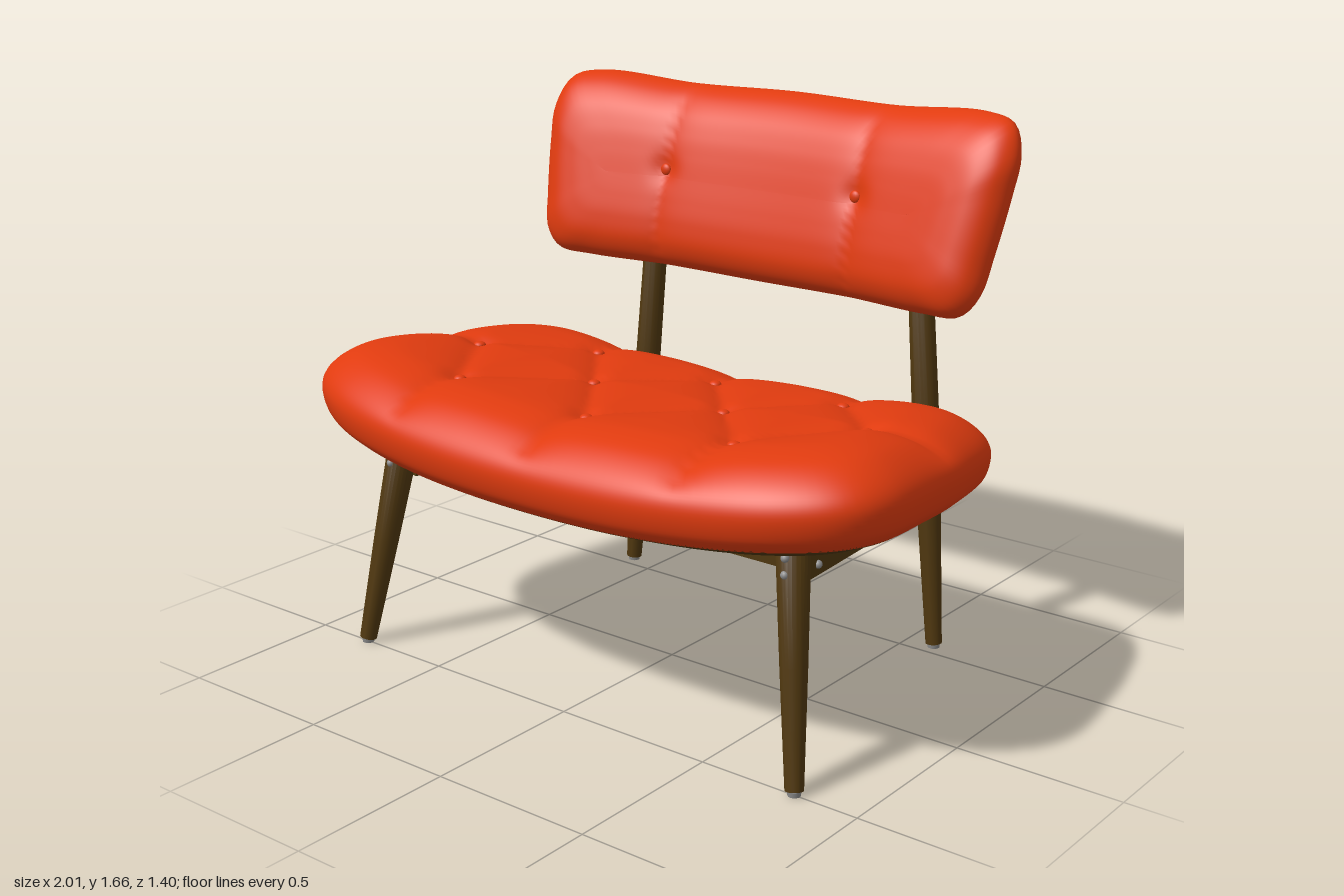
import * as THREE from 'three';
import { toCreasedNormals } from 'three/addons/utils/BufferGeometryUtils.js';

const V = (x, y, z) => new THREE.Vector3(x, y, z);
const material = (name, color) => {
  const m = new THREE.MeshStandardMaterial({ color });
  m.name = name;
  return m;
};

// Closed smooth outline from its right half, listed counter-clockwise from the bottom middle
function outline(half, count = 180) {
  const mirrored = half.slice(1, -1).reverse().map(([a, b]) => [-a, b]);
  const pts = [...half, ...mirrored].map(([a, b]) => V(a, b, 0));
  return new THREE.CatmullRomCurve3(pts, true).getSpacedPoints(count).slice(0, count);
}

// Rings that follow an outline; each profile step is [inset from the edge, height]
function loft(ring, size, profile, place) {
  const { A, B, b0 } = size, n = ring.length, pos = [], idx = [];
  profile.forEach(([d, h]) => ring.forEach(p => {
    const a = p.x * (1 - d / A), b = b0 + (p.y - b0) * (1 - d / B);
    pos.push(...place(a, b, h).toArray());
  }));
  for (let i = 0; i < profile.length - 1; i++) {
    for (let j = 0; j < n; j++) {
      const k = (j + 1) % n, p = i * n, q = p + n;
      idx.push(p + j, q + j, q + k, p + j, q + k, p + k);
    }
  }
  const g = new THREE.BufferGeometry();
  g.setAttribute('position', new THREE.Float32BufferAttribute(pos, 3));
  g.setIndex(idx);
  g.computeVertexNormals();
  return g;
}

const smooth = (profile, steps = 60) =>
  new THREE.SplineCurve(profile.map(p => new THREE.Vector2(...p))).getPoints(steps).map(p => [p.x, p.y]);

function segmentDistance(x, z, [ax, az], [bx, bz]) {
  const dx = bx - ax, dz = bz - az;
  const t = THREE.MathUtils.clamp(((x - ax) * dx + (z - az) * dz) / (dx * dx + dz * dz), 0, 1);
  return Math.hypot(x - ax - t * dx, z - az - t * dz);
}

// Seat buttons as [x, z], and the creases that join them into diamonds
const seatButtons = [[-0.46, -0.21], [0, -0.21], [0.46, -0.21], [-0.715, 0.06], [-0.24, 0.07],
  [0.24, 0.07], [0.715, 0.06], [-0.5, 0.37], [0, 0.385], [0.5, 0.37]];
const creases = [];
seatButtons.forEach((p, i) => {
  seatButtons.slice(i + 1).forEach(q => {
    if (Math.hypot(p[0] - q[0], p[1] - q[1]) < 0.42) creases.push([p, q]);
  });
  if (p[1] > 0.3) creases.push([p, [p[0], 0.64]]);
  else if (p[1] < 0) creases.push([p, [p[0], -0.42]]);
  else if (Math.abs(p[0]) > 0.6) creases.push([p, [p[0] * 1.32, 0.03]]);
});

const seatBase = (x, z) => 0.6 + 0.08 * x * x + 0.07 * z;
function seatPoint(a, b, h) {
  const z = -b;
  const line = Math.min(...creases.map(c => segmentDistance(a, z, ...c)));
  const spot = Math.min(...seatButtons.map(p => Math.hypot(a - p[0], z - p[1])));
  const dip = 0.028 * Math.exp(-line / 0.07) + 0.014 * Math.exp(-((spot / 0.04) ** 2));
  return V(a, seatBase(a, z) + h - dip * THREE.MathUtils.smoothstep(h, 0.12, 0.25), z);
}

// The backrest leans back and curves forward at both ends
function backPoint(a, b, h) {
  const side = Math.abs(Math.abs(a) - 0.35);
  const dip = 0.014 * Math.exp(-side / 0.05) + 0.012 * Math.exp(-((Math.hypot(side, b - 1.395) / 0.04) ** 2));
  return V(a, b, -0.64 + 0.14 * a * a - 0.3 * (b - 1.375) + h - dip * THREE.MathUtils.smoothstep(h, 0.1, 0.22));
}

export function createModel() {
  const red = material('red upholstery', 0xe03b0f);
  const wood = material('dark wood', 0x4f370f);
  const metal = material('grey metal', 0x8c8c8c);
  const model = new THREE.Group();
  const add = (name, geometry, mat, position) => {
    const mesh = new THREE.Mesh(geometry, mat);
    mesh.name = name;
    if (position) mesh.position.copy(position);
    model.add(mesh);
    return mesh;
  };

  // Seat cushion and the curved board under it
  const seatSize = { A: 1, B: 0.578, b0: -0.112 };
  const seatRing = outline([[0, -0.69], [0.5, -0.67], [0.8, -0.6], [0.95, -0.5], [1, -0.38], [0.98, -0.1],
    [0.95, 0.1], [0.88, 0.33], [0.79, 0.42], [0.6, 0.455], [0.3, 0.465], [0, 0.466]]);
  add('seatCushion', loft(seatRing, seatSize, smooth([[0.578, 0.263], [0.48, 0.263], [0.38, 0.263], [0.28, 0.262],
    [0.19, 0.255], [0.1, 0.226], [0.03, 0.17], [0, 0.11], [0.012, 0.04], [0.05, 0.002]]), seatPoint), red);
  add('seatBoard', toCreasedNormals(loft(seatRing, seatSize, [[0.045, 0.006], [0.06, -0.003], [0.13, -0.028],
    [0.25, -0.028], [0.42, -0.025], [0.578, -0.022]], seatPoint), 0.6), wood);
  seatButtons.forEach(([x, z]) => {
    const button = add('seatButton', new THREE.SphereGeometry(0.019, 16, 10), red, seatPoint(x, -z, 0.268));
    button.scale.y = 0.6;
  });

  // Thin plate below the board
  const plate = new THREE.BoxGeometry(0.6, 0.008, 0.36, 12, 1, 1);
  const pp = plate.attributes.position;
  for (let i = 0; i < pp.count; i++) {
    const z = pp.getZ(i) - 0.03;
    pp.setXYZ(i, pp.getX(i), pp.getY(i) + seatBase(pp.getX(i), z) - 0.029, z);
  }
  plate.computeVertexNormals();
  add('undersidePlate', plate, metal);

  // Backrest cushion and rear panel
  const backSize = { A: 0.838, B: 0.286, b0: 1.375 };
  const backRing = outline([[0, 1.088], [0.35, 1.093], [0.62, 1.095], [0.74, 1.108], [0.79, 1.165], [0.81, 1.27],
    [0.833, 1.45], [0.838, 1.56], [0.8, 1.64], [0.7, 1.662], [0.37, 1.643], [0, 1.647]]);
  add('backCushion', loft(backRing, backSize, smooth([[0.286, 0.236], [0.22, 0.236], [0.15, 0.232], [0.08, 0.216],
    [0.025, 0.175], [0, 0.115], [0.028, 0.05], [0.07, 0.012], [0.11, 0]]), backPoint), red);
  add('backPanel', toCreasedNormals(loft(backRing, backSize, [[0.095, 0.02], [0.095, -0.008], [0.105, -0.015],
    [0.2, -0.015], [0.286, -0.015]], backPoint), 0.6), wood);
  for (const s of [-1, 1]) {
    const button = add('backButton', new THREE.SphereGeometry(0.019, 16, 10), red, backPoint(0.35 * s, 1.395, 0.24));
    button.scale.z = 0.6;
  }

  // Frame helpers: round tapered leg, straight beam, screw
  const leg = (name, from, to, radii) => {
    const dir = to.clone().sub(from), L = dir.length();
    const [r0, r1, r2] = radii;
    const pts = [[0, 0], [r0, 0], [(r0 + r1) / 2, L * 0.25], [r1, L * 0.5], [r2, L - 0.02], [r2 * 0.75, L - 0.004], [0, L]];
    const g = new THREE.LatheGeometry(pts.map(p => new THREE.Vector2(...p)), 24);
    const turn = new THREE.Quaternion().setFromUnitVectors(V(0, 1, 0), dir.normalize());
    add(name, toCreasedNormals(g, 0.7), wood, from).quaternion.copy(turn);
    add('footGlide', new THREE.CylinderGeometry(0.02, 0.018, 0.016, 16), metal, V(from.x, 0.008, from.z));
  };
  const beam = (name, from, to, width, height) => {
    const mesh = add(name, new THREE.BoxGeometry(width, height, from.distanceTo(to)), wood,
      from.clone().add(to).multiplyScalar(0.5));
    mesh.lookAt(to);
  };
  const screw = (x, y, z) => add('screw', new THREE.SphereGeometry(0.012, 10, 8), metal, V(x, y, z));

  for (const s of [-1, 1]) {
    leg('frontLeg', V(0.803 * s, 0.014, 0.5), V(0.713 * s, 0.66, 0.395), [0.026, 0.038, 0.047]);
    leg('backLeg', V(0.595 * s, 0.014, -0.545), V(0.487 * s, 1.27, -0.552), [0.025, 0.041, 0.037]);
    beam('sideRail', V(0.705 * s, 0.588, 0.38), V(0.553 * s, 0.511, -0.53), 0.05, 0.105);
    // Screws on the legs and on the outside of the rails
    for (const y of [0.585, 0.632]) screw(0.725 * s, y, 0.449);
    for (const y of [0.49, 0.545]) screw(0.553 * s, y, -0.584);
    for (const y of [1.14, 1.2]) screw(0.495 * s, y, -0.59);
    for (const y of [0.56, 0.612]) screw(0.715 * s, y, 0.28);
    for (const y of [0.51, 0.56]) screw(0.612 * s, y, -0.34);
  }

  // Cross rails under the seat
  beam('frontCrossRail', V(-0.675, 0.578, 0.28), V(0.675, 0.578, 0.28), 0.05, 0.09);
  beam('rearCrossRail', V(-0.575, 0.523, -0.34), V(0.575, 0.523, -0.34), 0.05, 0.095);
  return model;
}
